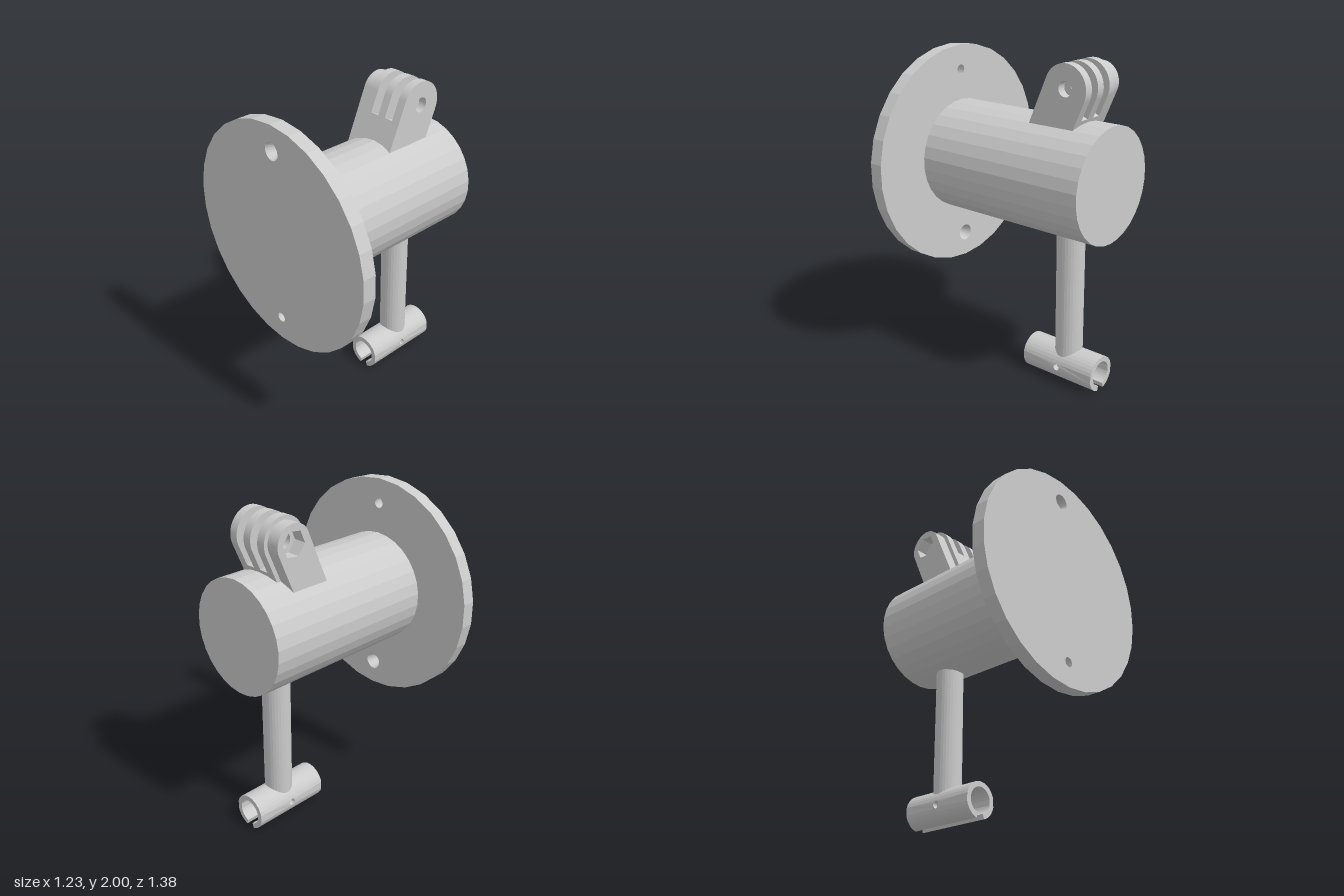
import * as THREE from 'three';
import { mergeGeometries } from 'three/addons/utils/BufferGeometryUtils.js';

const material = new THREE.MeshStandardMaterial({ color: 0xcccccc, flatShading: true });

function addMesh(parent, name, geometry) {
  const mesh = new THREE.Mesh(geometry, material);
  mesh.name = name;
  parent.add(mesh);
  return mesh;
}

// Points of a regular polygon (or ellipse), first corner at the top
function ring(cx, cy, rx, ry, sides) {
  return Array.from({ length: sides }, (_, i) => {
    const a = Math.PI / 2 + (i / sides) * Math.PI * 2;
    return new THREE.Vector2(cx + rx * Math.cos(a), cy + ry * Math.sin(a));
  });
}

function extrude(shape, depth) {
  return new THREE.ExtrudeGeometry(shape, { depth, bevelEnabled: false, curveSegments: 20 });
}

// Apply a rule to every vertex
function bend(geometry, rule) {
  const pos = geometry.attributes.position;
  const v = new THREE.Vector3();
  for (let i = 0; i < pos.count; i++) {
    rule(v.fromBufferAttribute(pos, i));
    pos.setXYZ(i, v.x, v.y, v.z);
  }
  geometry.computeVertexNormals();
  return geometry;
}

// Round wall plate with two tapered screw holes, facing opposite ways
function flangeGeometry() {
  const thick = 0.085, holeY = 0.54, big = 0.052, small = 0.03;
  const shape = new THREE.Shape(ring(0, 0, 0.693, 0.693, 30));
  for (const s of [1, -1]) shape.holes.push(new THREE.Path(ring(0, s * holeY, big, big, 20)));
  const geometry = bend(extrude(shape, thick), v => {
    const s = Math.sign(v.y);
    const narrowEnd = s > 0 ? v.z > thick / 2 : v.z < thick / 2;
    if (narrowEnd && Math.hypot(v.x, v.y - s * holeY) < 0.08) {
      v.x *= small / big;
      v.y = s * holeY + (v.y - s * holeY) * small / big;
    }
  });
  return geometry.rotateY(Math.PI / 2);
}

// Round-topped lug, pivot at the origin, running down to -length
function lugShape(r, length, hole) {
  const shape = new THREE.Shape();
  shape.moveTo(-r, -length);
  shape.lineTo(r, -length);
  shape.lineTo(r, 0);
  shape.absarc(0, 0, r, 0, Math.PI, false);
  shape.closePath();
  shape.holes.push(new THREE.Path(hole));
  return shape;
}

// Split tube along x with a slot at the bottom and a pin hole on each side
function clipGeometry(x0, x1, cy, inner, outer) {
  const deg = Math.PI / 180, xm = (x0 + x1) / 2, mid = (inner + outer) / 2;
  const strips = [];
  const addStrips = (from, to, count, hole) => {
    for (let i = 0; i < count; i++) {
      const a = (from + (to - from) * i / count) * deg;
      const b = (from + (to - from) * (i + 1) / count) * deg;
      const shape = new THREE.Shape([[x0, a], [x1, a], [x1, b], [x0, b]].map(p => new THREE.Vector2(...p)));
      if (hole) shape.holes.push(new THREE.Path(ring(xm, (a + b) / 2, 0.02, 0.02 / mid, 16)));
      strips.push(extrude(shape, outer - inner));
    }
  };
  addStrips(15.5, 77, 6);
  addStrips(77, 103, 1, true);
  addStrips(103, 257, 14);
  addStrips(257, 283, 1, true);
  addStrips(283, 344.5, 6);
  // x stays, y is the angle from straight down, z is the depth in the wall
  return bend(mergeGeometries(strips), v => {
    const r = inner + v.z, a = v.y;
    v.y = cy - r * Math.cos(a);
    v.z = r * Math.sin(a);
  });
}

export function createModel() {
  const model = new THREE.Group();
  model.name = 'cameraMountBracket';

  // Wall plate and thick horizontal arm
  addMesh(model, 'flange', flangeGeometry()).position.set(-0.615, 1.308, 0);
  const arm = new THREE.CylinderGeometry(0.346, 0.346, 1.16, 30, 1, false, Math.PI / 2);
  addMesh(model, 'arm', arm.rotateZ(Math.PI / 2)).position.set(0.032, 1.317, 0);

  // Leaning three-prong hinge on top of the arm
  const hinge = new THREE.Group();
  hinge.name = 'hinge';
  hinge.position.set(0.375, 1.857, 0);
  hinge.rotation.z = -Math.atan2(25, 57);
  model.add(hinge);
  const reach = 0.4, prongWidth = 0.054;
  const prong = extrude(lugShape(0.14, reach, ring(0, 0, 0.045, 0.045, 24)), prongWidth);
  for (const z of [0.084, -0.028, -0.139]) addMesh(hinge, 'prong', prong).position.z = z;

  // Solid web at the foot of the two slots
  for (const z of [0.055, -0.0565]) {
    const web = new THREE.BoxGeometry(0.28, reach - 0.13, 0.058);
    addMesh(hinge, 'slotFloor', web).position.set(0, -(reach + 0.13) / 2, z);
  }

  // Boss with the hexagonal nut pocket
  const boss = extrude(lugShape(0.115, reach, ring(0, 0, 0.08, 0.08, 6)), 0.078);
  addMesh(hinge, 'nutBoss', boss).position.z = -0.217;

  // Post hanging from the arm, its foot shaped to sit on the clip
  const post = bend(new THREE.CylinderGeometry(0.086, 0.086, 0.86, 30).translate(0.336, 0.6, 0), v => {
    if (v.y < 0.5) v.y = 0.11 + Math.sqrt(0.1 ** 2 - v.z ** 2);
  });
  addMesh(model, 'post', post);

  // Snap-on clip at the bottom
  addMesh(model, 'clip', clipGeometry(0.062, 0.577, 0.109, 0.079, 0.111));
  return model;
}
